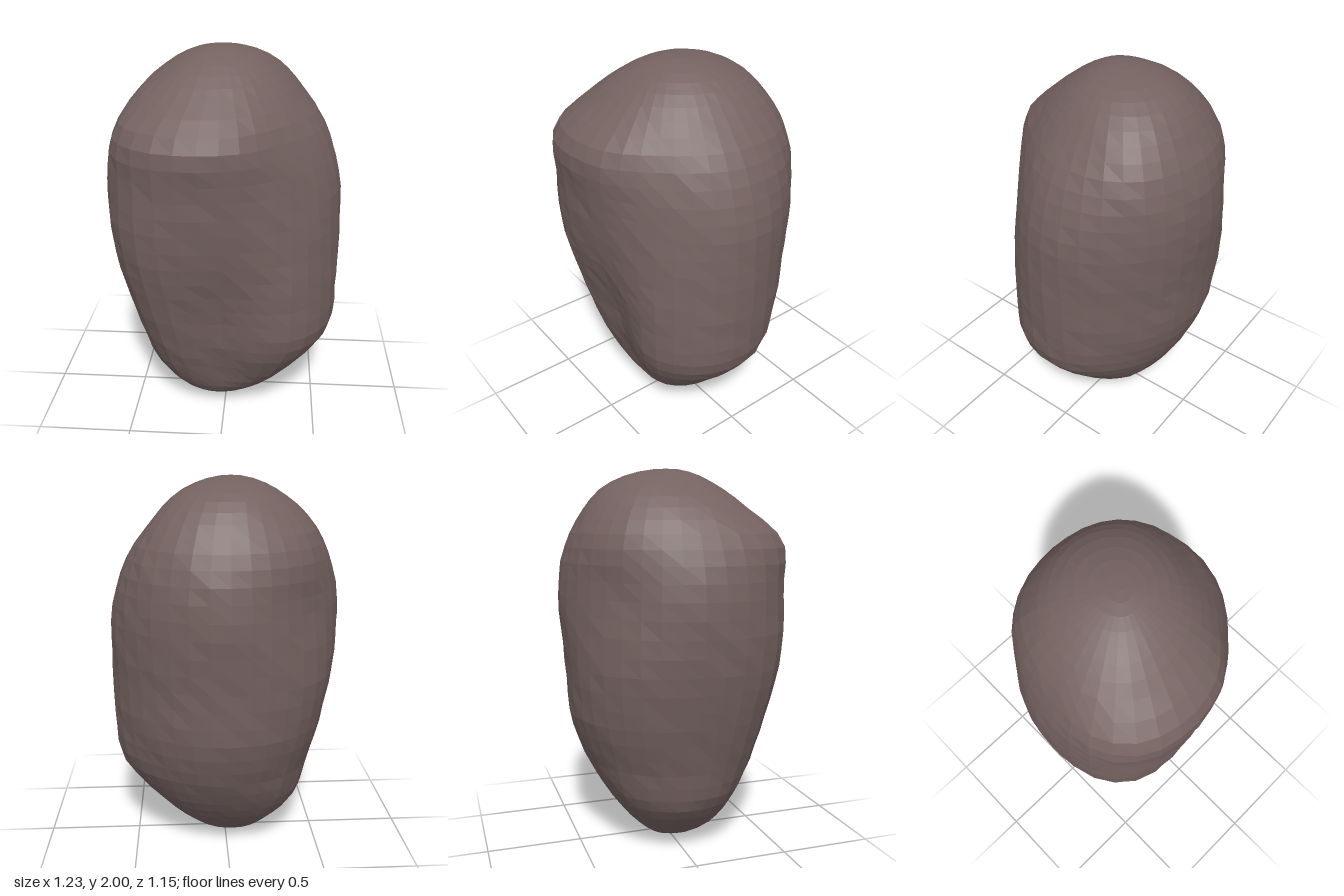
import * as THREE from 'three';

// Heights from top to bottom, with the girth toward left, front-left, front,
// front-right, right, back-right, back and back-left at each height
const HEIGHTS = [2, 1.8, 1.65, 1.4, 1, 0.7, 0.48, 0.25, 0];
const GIRTHS = [
  [0.58, 0.50, 0.49, 0.57, 0.58, 0.67, 0.76, 0.71],
  [0.54, 0.51, 0.58, 0.67, 0.64, 0.65, 0.65, 0.66],
  [0.58, 0.53, 0.66, 0.755, 0.64, 0.64, 0.63, 0.645],
  [0.61, 0.53, 0.57, 0.68, 0.63, 0.57, 0.60, 0.61],
  [0.61, 0.55, 0.50, 0.64, 0.59, 0.575, 0.55, 0.57],
  [0.62, 0.575, 0.43, 0.58, 0.54, 0.545, 0.54, 0.56],
  [0.64, 0.60, 0.42, 0.55, 0.52, 0.51, 0.50, 0.54],
  [0.54, 0.55, 0.42, 0.54, 0.55, 0.51, 0.44, 0.49],
  [0.46, 0.49, 0.53, 0.55, 0.48, 0.44, 0.36, 0.41],
];
const SIDES = 36;
const ROWS = 34;

function spline(a, b, c, d, t) {
  return b + 0.5 * t * (c - a + t * (2 * a - 5 * b + 4 * c - d + t * (3 * (b - c) + d - a)));
}

// Girth in direction k at height y
function girthAt(y, k) {
  const last = HEIGHTS.length - 1;
  let i = 0;
  while (i < last - 1 && y < HEIGHTS[i + 1]) i++;
  const t = (HEIGHTS[i] - y) / (HEIGHTS[i] - HEIGHTS[i + 1]);
  const at = (n) => GIRTHS[THREE.MathUtils.clamp(n, 0, last)][(k + 8) % 8];
  return spline(at(i - 1), at(i), at(i + 1), at(i + 2), t);
}

// Small repeatable unevenness between -1 and 1
function rough(i, j) {
  const s = Math.sin(i * 12.99 + j * 78.23) * 43758.5;
  return (s - Math.floor(s)) * 2 - 1;
}

function boulderGeometry() {
  const positions = [];
  const index = [];
  for (let i = 0; i <= ROWS; i++) {
    const y = 1 + Math.cos((i / ROWS) * Math.PI);
    // Rounded closing toward the crown and the foot
    const dome = Math.sqrt(Math.max(0, 1 - Math.pow(Math.abs(y - 1), 2.6)));
    // Both ends lean slightly to the right
    const lean = -0.03 * Math.pow(y - 1, 6);
    for (let j = 0; j < SIDES; j++) {
      const u = (j / SIDES) * 8;
      const k = Math.floor(u);
      const girth = spline(girthAt(y, k - 1), girthAt(y, k), girthAt(y, k + 1), girthAt(y, k + 2), u - k);
      const r = dome * (girth + 0.003 * rough(i, j));
      const angle = (j / SIDES) * Math.PI * 2;
      positions.push(lean + r * Math.cos(angle), y, r * Math.sin(angle));
    }
  }
  for (let i = 0; i < ROWS; i++) {
    for (let j = 0; j < SIDES; j++) {
      const a = i * SIDES + j;
      const b = i * SIDES + ((j + 1) % SIDES);
      const c = a + SIDES;
      const d = b + SIDES;
      if (i > 0) index.push(a, b, c);
      if (i < ROWS - 1) index.push(b, d, c);
    }
  }
  const geometry = new THREE.BufferGeometry();
  geometry.setAttribute('position', new THREE.Float32BufferAttribute(positions, 3));
  geometry.setIndex(index);
  geometry.computeVertexNormals();
  return geometry;
}

export function createModel() {
  const group = new THREE.Group();
  group.name = 'rock';
  const stone = new THREE.MeshStandardMaterial({ color: 0x746260, flatShading: true });
  stone.name = 'brown stone';
  const boulder = new THREE.Mesh(boulderGeometry(), stone);
  boulder.name = 'boulder';
  group.add(boulder);
  return group;
}
